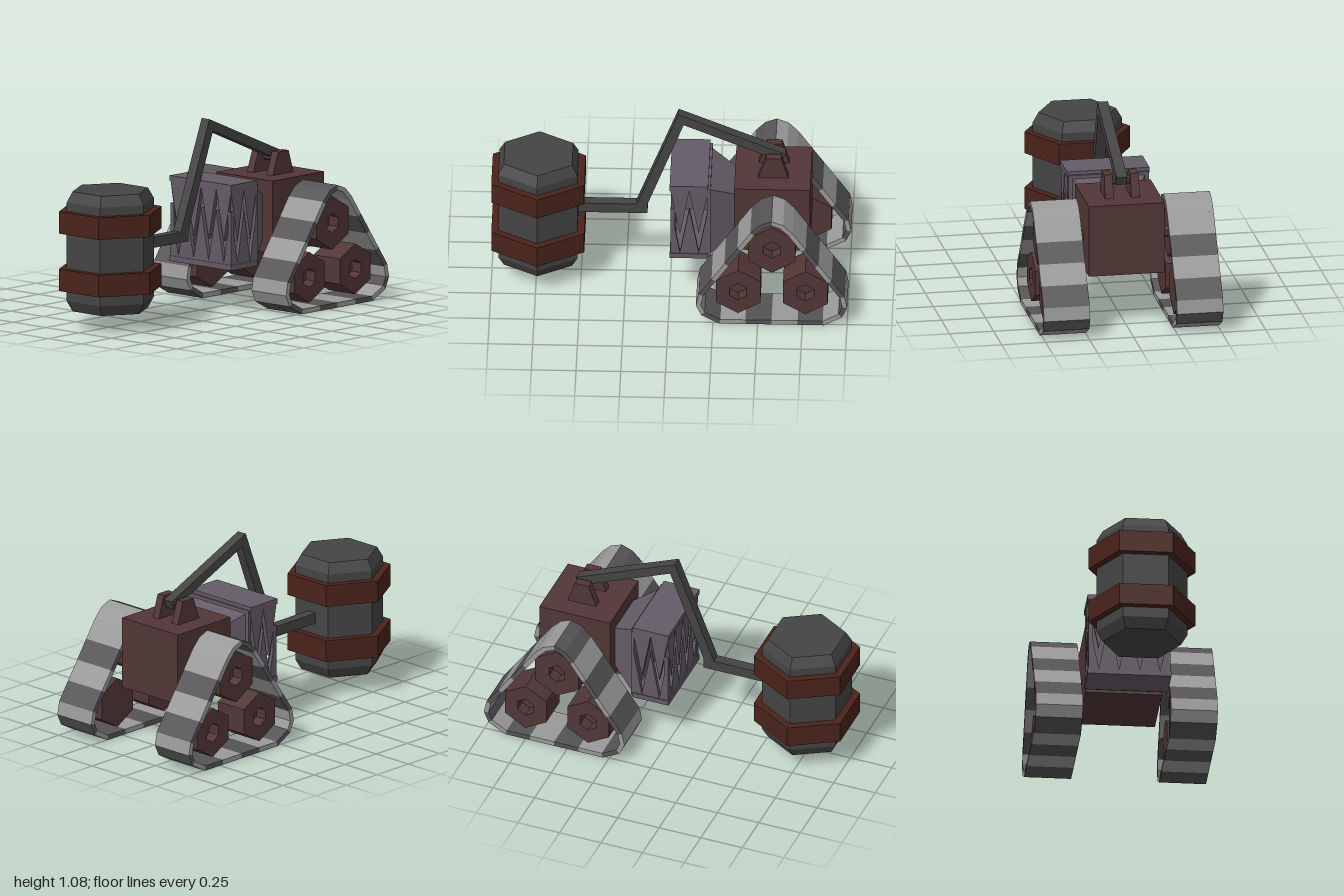
import * as THREE from 'three';

const mat = (color) => new THREE.MeshStandardMaterial({ color, flatShading: true, side: THREE.DoubleSide });

export function createModel() {
  const model = new THREE.Group();
  const steel = mat(0x444444), rust = mat(0x4a231b), brown = mat(0x523636), jawMat = mat(0x645b66);
  const treadLight = mat(0x999999), treadDark = mat(0x555355);

  const add = (name, geometry, material, parent = model) => {
    const m = new THREE.Mesh(geometry, material);
    m.name = name;
    parent.add(m);
    return m;
  };
  const group = (name, parent = model) => {
    const g = new THREE.Group();
    g.name = name;
    parent.add(g);
    return g;
  };
  const box = (x0, x1, y0, y1, z0, z1) =>
    new THREE.BoxGeometry(x1 - x0, y1 - y0, z1 - z0).translate((x0 + x1) / 2, (y0 + y1) / 2, (z0 + z1) / 2);
  const toShape = (pts) => new THREE.Shape(pts.map((p) => new THREE.Vector2(p[0], p[1])));
  // Side outline in (z, y) extruded from x0 to x1
  const prismX = (shape, x0, x1) =>
    new THREE.ExtrudeGeometry(shape, { depth: x1 - x0, bevelEnabled: false }).rotateY(-Math.PI / 2).translate(x1, 0, 0);
  const hexagon = (z, y, r) => Array.from({ length: 6 }, (_, i) => {
    const a = Math.PI / 6 + (i * Math.PI) / 3;
    return [z + r * Math.cos(a), y + r * Math.sin(a)];
  });

  // Hammer head: chamfered hexagonal core with two bands
  const hammer = group('hammerHead');
  hammer.position.z = 0.74;
  const profile = [[0, 0.1], [0.22, 0.1], [0.255, 0.16], [0.255, 0.72], [0.22, 0.78], [0, 0.78]];
  add('hammerCore', new THREE.LatheGeometry(profile.map((p) => new THREE.Vector2(...p)), 6, Math.PI / 2), steel, hammer);
  for (const y of [0.282, 0.608]) {
    add('hammerBand', new THREE.CylinderGeometry(0.3, 0.3, 0.125, 6, 1, false, Math.PI / 2).translate(0, y, 0), rust, hammer);
  }

  // Bent arm
  add('arm', prismX(toShape([
    [0.55, 0.41], [0.55, 0.47], [0.19, 0.47], [-0.043, 1.08], [-0.64, 0.825],
    [-0.62, 0.775], [-0.072, 1.01], [0.13, 0.47], [0.13, 0.41],
  ]), -0.03, 0.03), steel);

  // Body, arm mount and axle
  add('body', box(-0.215, 0.215, 0.3, 0.71, -0.785, -0.36), brown);
  const lug = toShape([[-0.49, 0.71], [-0.535, 0.838], [-0.62, 0.838], [-0.66, 0.71]]);
  for (const s of [-1, 1]) add('armMount', prismX(lug, s * 0.074 - 0.024, s * 0.074 + 0.024), brown);
  add('armPin', prismX(toShape(hexagon(-0.59, 0.795, 0.025)), -0.06, 0.06), brown);
  add('axle', prismX(toShape(hexagon(-0.585, 0.475, 0.033)), -0.3, 0.3), brown);

  // Tapered neck between body and jaws
  const neck = box(-0.21, 0.21, 0.26, 0.7, -0.36, -0.22);
  const pos = neck.attributes.position;
  for (let i = 0; i < pos.count; i++) {
    if (pos.getZ(i) < -0.3) pos.setXY(i, pos.getX(i) * 0.66, pos.getY(i) > 0.48 ? 0.625 : 0.365);
  }
  add('neck', neck, jawMat);

  // Jaws: open box whose sides and front are interlocking teeth
  const jaws = group('jaws');
  add('jawTop', box(-0.235, 0.235, 0.705, 0.735, -0.215, 0), jawMat, jaws);
  add('jawBottom', box(-0.235, 0.235, 0.25, 0.28, -0.215, 0), jawMat, jaws);
  add('jawBack', box(-0.228, 0.228, 0.255, 0.715, -0.228, -0.21), jawMat, jaws);
  const teeth = (start, width, count, edge, root, tip) => {
    const p = width / count;
    const pts = [[start, edge], [start, root]];
    for (let i = 0; i < count; i++) pts.push([start + p * (i + 0.5), tip], [start + p * (i + 1), root]);
    pts.push([start + width, edge]);
    return toShape(pts);
  };
  // Lower row is shifted half a pitch, with half teeth at the ends
  const lowerTeeth = (start, width, count) => {
    const p = width / count;
    const pts = [[start, 0.27], [start, 0.58]];
    for (let i = 0; i < count; i++) pts.push([start + p * (i + 0.5), 0.285], [start + p * (i + 1), 0.58]);
    pts.push([start + width, 0.27]);
    return toShape(pts);
  };
  for (const s of [-1, 1]) {
    const x = s * 0.218;
    add('sideUpperTeeth', prismX(teeth(-0.215, 0.21, 2, 0.715, 0.7, 0.41), x - 0.012, x + 0.012), jawMat, jaws);
    add('sideLowerTeeth', prismX(lowerTeeth(-0.215, 0.21, 2), x - 0.012, x + 0.012), jawMat, jaws);
  }
  const front = (shape) => new THREE.ExtrudeGeometry(shape, { depth: 0.024, bevelEnabled: false }).translate(0, 0, -0.03);
  add('frontUpperTeeth', front(teeth(-0.23, 0.46, 4, 0.715, 0.7, 0.41)), jawMat, jaws);
  add('frontLowerTeeth', front(lowerTeeth(-0.23, 0.46, 4)), jawMat, jaws);

  // Tread outline, as offsets from its centre line, running front to bottom to back
  const mid = -0.578;
  const half = [[0.065, 0.67], [0.118, 0.615], [0.408, 0.195], [0.423, 0.12], [0.393, 0.055], [0.292, 0]];
  const lerp = (a, b, t) => [a[0] + (b[0] - a[0]) * t, a[1] + (b[1] - a[1]) * t];
  const corners = [[0, 0.695], ...half, ...half.map(([z, y]) => [-z, y]).reverse()].map(([z, y]) => [mid + z, y]);
  const loop = [];
  corners.forEach((a, i) => {
    const b = corners[(i + 1) % corners.length];
    const n = Math.hypot(b[0] - a[0], b[1] - a[1]) > 0.3 ? 4 : 1; // long runs hold four plates
    for (let k = 0; k < n; k++) loop.push(lerp(a, b, k / n));
  });
  // Inner edge: each point moved inward along the bisector
  const inner = loop.map((p, i) => {
    const a = loop.at(i - 1), b = loop[(i + 1) % loop.length];
    const dz = b[0] - a[0], dy = b[1] - a[1], l = Math.hypot(dz, dy);
    return [p[0] + (dy / l) * 0.028, p[1] - (dz / l) * 0.028];
  });
  const plateColours = 'DDLDLDLLDLDLDLDLDLDLLL';

  for (const s of [-1, 1]) {
    const side = group(s > 0 ? 'leftTrack' : 'rightTrack');
    const span = (a, b) => (s > 0 ? [a, b] : [-b, -a]);
    loop.forEach((p, i) => {
      const j = (i + 1) % loop.length;
      const plate = toShape([p, loop[j], inner[j], inner[i]]);
      add('treadPlate', prismX(plate, ...span(0.247, 0.51)), plateColours[i] === 'D' ? treadDark : treadLight, side);
    });
    // Hexagonal wheels with a recessed hub on the outside
    for (const [z, y, r] of [[-0.578, 0.475, 0.152], [-0.39, 0.19, 0.144], [-0.766, 0.19, 0.144]]) {
      const rim = toShape(hexagon(z, y, r));
      rim.holes.push(new THREE.Path(toShape(hexagon(z, y, 0.055)).getPoints()));
      add('wheelRim', prismX(rim, ...span(0.4, 0.47)), brown, side);
      add('wheelBack', prismX(toShape(hexagon(z, y, r)), ...span(0.27, 0.4)), brown, side);
    }
  }
  return model;
}
